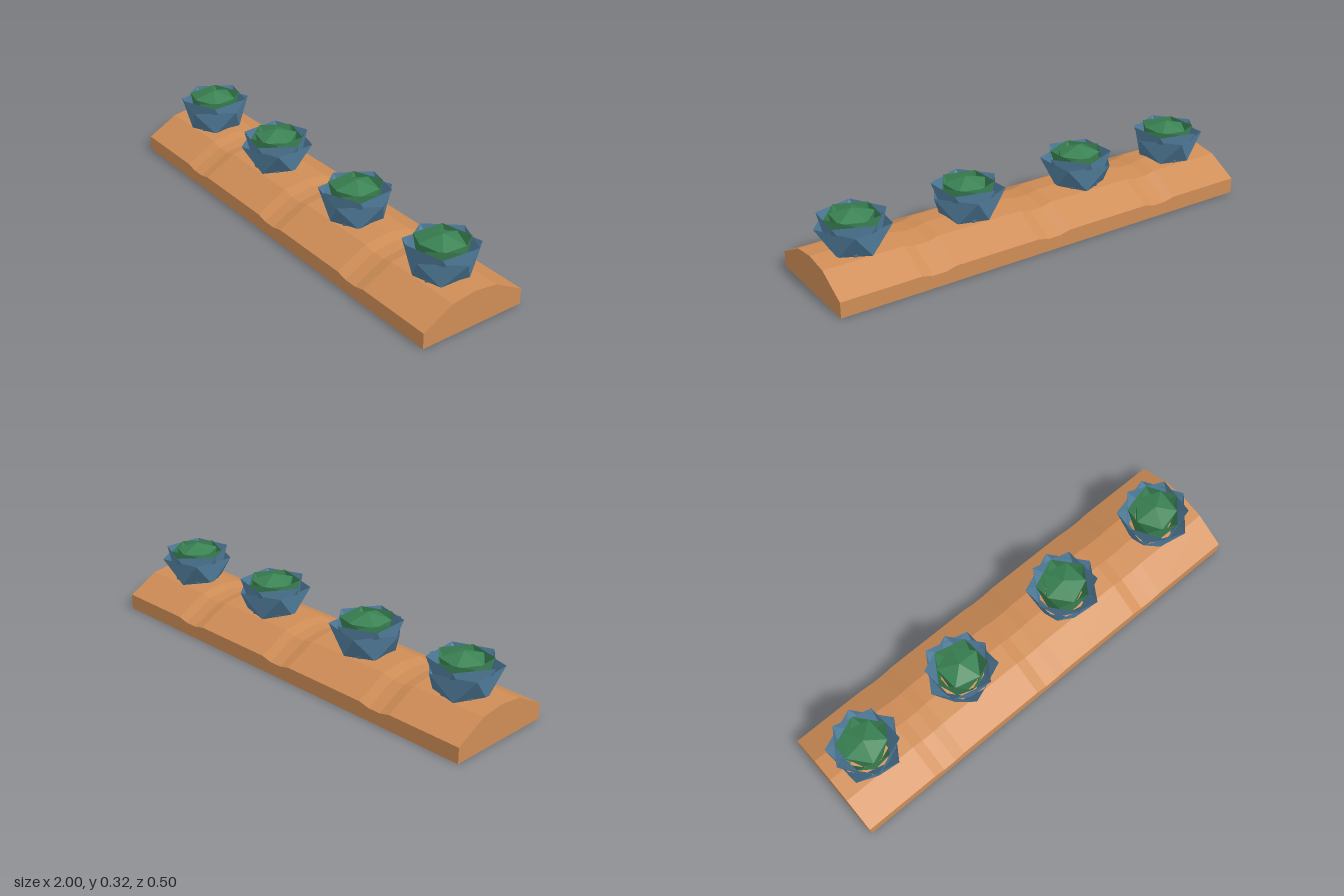
import * as THREE from 'three';

const material = (name, color) =>
  new THREE.MeshStandardMaterial({ name, color, flatShading: true, side: THREE.DoubleSide });

function meshFrom(points, mat, name) {
  const geometry = new THREE.BufferGeometry();
  geometry.setAttribute('position', new THREE.Float32BufferAttribute(points.flat(), 3));
  geometry.computeVertexNormals();
  const mesh = new THREE.Mesh(geometry, mat);
  mesh.name = name;
  return mesh;
}

// Long hollow mound, open underneath, with shallow dips between the plants
function createSoil(mat) {
  const dips = [-0.57, 0, 0.56];
  const stations = [[-1, 0]];
  for (const c of dips) {
    stations.push([c - 0.08, 0], [c - 0.03, 0.012], [c + 0.03, 0.012], [c + 0.08, 0]);
  }
  stations.push([1, 0]);

  // cross-section from front to back: [z, y]
  const profile = [[0.25, 0], [0.25, 0.07], [0.11, 0.145], [0, 0.16], [-0.11, 0.145], [-0.25, 0.07], [-0.25, 0]];
  const rings = stations.map(([x, d]) => profile.map(([z, y]) => [x, y > 0 ? y - d : 0, z]));
  const tris = [];
  for (let i = 0; i < rings.length - 1; i++) {
    for (let j = 0; j < profile.length - 1; j++) {
      const a = rings[i][j], b = rings[i + 1][j], c = rings[i + 1][j + 1], d = rings[i][j + 1];
      tris.push(a, b, c, a, c, d);
    }
  }
  // end walls
  const left = rings[rings.length - 1], right = rings[0];
  for (let j = 1; j < profile.length - 1; j++) {
    tris.push(left[0], left[j + 1], left[j]);
    tris.push(right[0], right[j], right[j + 1]);
  }
  return meshFrom(tris, mat, 'soilMound');
}

// Five-sided bowl of triangles, its base turned half a step from its rim
function createTier(name, mat, { r0, y0, r1, y1, turn, tip }) {
  const point = (r, y, step) => {
    const t = turn + step * Math.PI * 2 / 5;
    return [r * Math.cos(t), y, r * Math.sin(t)];
  };
  const tris = [];
  for (let i = 0; i < 5; i++) {
    const b0 = point(r0, y0, i - 0.5), b1 = point(r0, y0, i + 0.5);
    const t0 = point(r1, y1, i), t1 = point(r1, y1, i + 1);
    tris.push(b0, t0, b1, t0, t1, b1);
    if (tip) tris.push(t0, [0, tip, 0], t1);
  }
  return meshFrom(tris, mat, name);
}

export function createModel() {
  const soil = material('soil orange', 0xcf8d56);
  const blue = material('leaf blue', 0x527f9e);
  const green = material('heart green', 0x3a8253);

  const model = new THREE.Group();
  model.name = 'plantedRow';
  model.add(createSoil(soil));

  // Nested leaf tiers, alternating by half a step
  const half = Math.PI / 5;
  const createPlant = () => {
    const plant = new THREE.Group();
    plant.name = 'plant';
    plant.add(
      createTier('outerLeaves', blue, { r0: 0.116, y0: 0.145, r1: 0.164, y1: 0.26, turn: 0 }),
      createTier('middleLeaves', blue, { r0: 0.102, y0: 0.147, r1: 0.148, y1: 0.287, turn: half }),
      createTier('innerLeaves', green, { r0: 0.086, y0: 0.149, r1: 0.12, y1: 0.292, turn: 0 }),
      createTier('heart', green, { r0: 0.07, y0: 0.151, r1: 0.097, y1: 0.285, turn: half, tip: 0.318 })
    );
    return plant;
  };

  // [x position, turn in degrees]
  for (const [x, degrees] of [[-0.805, -4], [-0.298, 176], [0.277, -4], [0.807, 5]]) {
    const plant = createPlant();
    plant.position.x = x;
    plant.rotation.y = -THREE.MathUtils.degToRad(degrees);
    model.add(plant);
  }
  return model;
}
